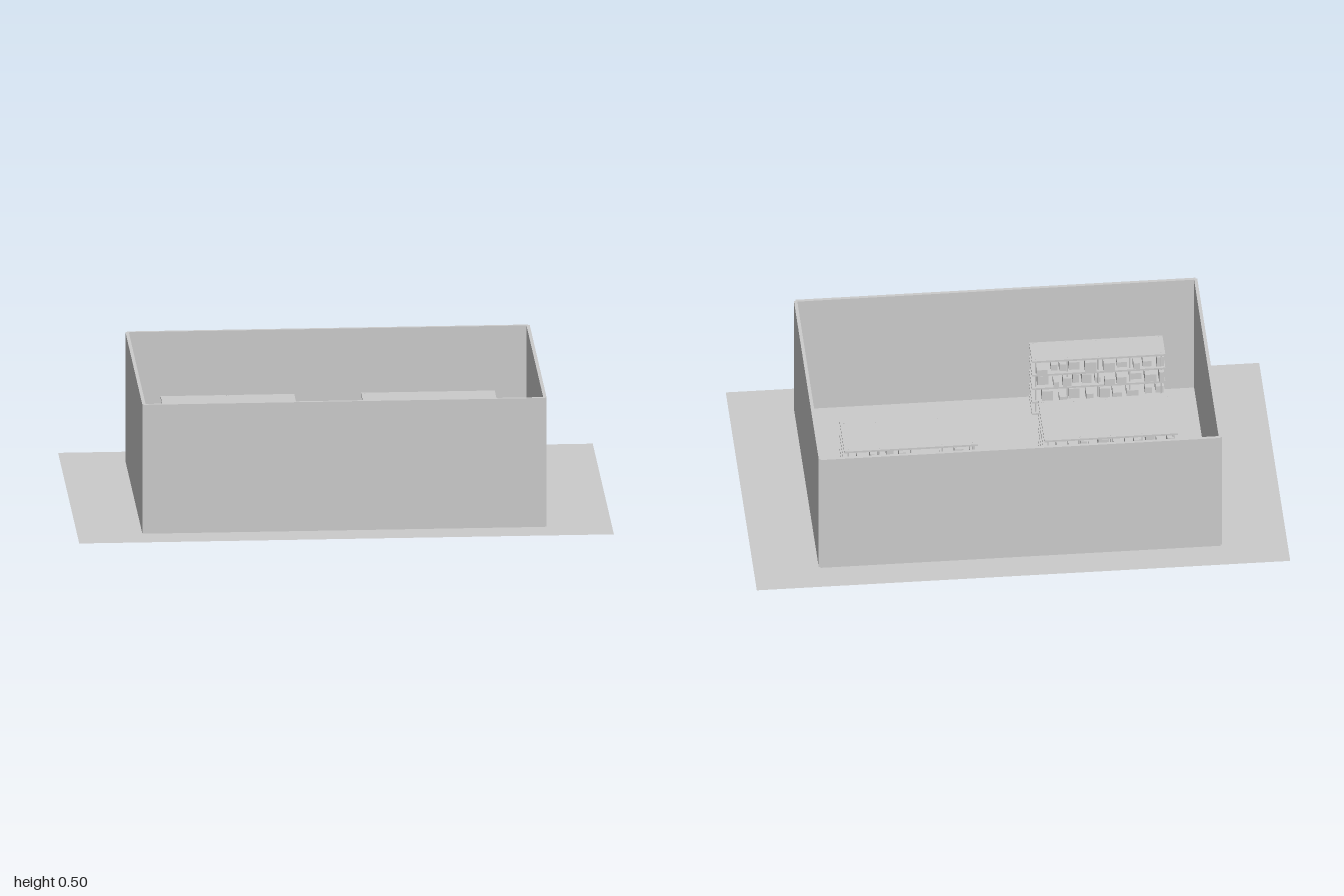
import * as THREE from 'three';

const grey = new THREE.MeshStandardMaterial({ color: 0xcccccc, flatShading: true });
const greyDouble = new THREE.MeshStandardMaterial({ color: 0xcccccc, flatShading: true, side: THREE.DoubleSide });

// Small seeded random source
let seed = 7;
function random(min, max) {
  seed = (seed * 16807) % 2147483647;
  return min + (max - min) * (seed / 2147483647);
}

function box(parent, name, [w, h, d], [x, y, z]) {
  const mesh = new THREE.Mesh(new THREE.BoxGeometry(w, h, d), grey);
  mesh.name = name;
  mesh.position.set(x, y, z);
  parent.add(mesh);
}

const LENGTH = 0.5, HEIGHT = 0.25, TIERS = 4, BOARD = 0.008;
const STEP = HEIGHT / TIERS;

// Open shelving: boards on thin posts, goods lined up along the open sides
function createShelf(depth, openSides) {
  const shelf = new THREE.Group();
  shelf.name = 'shelfUnit';

  for (let i = 0; i <= TIERS; i++) {
    const y = i === 0 ? BOARD / 2 + 0.001 : i * STEP - BOARD / 2;
    box(shelf, 'shelfBoard', [LENGTH, BOARD, depth], [0, y, 0]);
  }

  // Posts, their tips just showing above the top board
  const postGeometry = new THREE.CylinderGeometry(0.003, 0.003, HEIGHT + 0.001, 8);
  for (let i = 0; i < 5; i++) {
    for (const side of [-1, 1]) {
      const post = new THREE.Mesh(postGeometry, grey);
      post.name = 'shelfPost';
      post.position.set((i / 4 - 0.5) * (LENGTH - 0.03), (HEIGHT + 0.001) / 2, side * (depth / 2 - 0.012));
      shelf.add(post);
    }
  }

  // Goods of varied size, some sticking out past the edge
  for (const side of openSides) {
    for (let tier = 0; tier < TIERS; tier++) {
      const floor = tier === 0 ? BOARD + 0.001 : tier * STEP;
      let x = -LENGTH / 2 + random(0.002, 0.015);
      while (true) {
        const w = random(0.015, 0.045);
        if (x + w > LENGTH / 2) break;
        const h = random(0.022, 0.046);
        const d = random(0.035, 0.06);
        const front = depth / 2 + random(-0.025, 0.012);
        box(shelf, 'goods', [w, h, d], [x + w / 2, floor + h / 2, side * (front - d / 2)]);
        x += w + random(0.006, 0.026);
      }
    }
  }
  return shelf;
}

export function createModel() {
  seed = 7;
  const model = new THREE.Group();
  model.name = 'storeRoom';

  // Ground sheet
  const ground = new THREE.Mesh(new THREE.PlaneGeometry(2, 1.25).rotateX(-Math.PI / 2), greyDouble);
  ground.name = 'floor';
  model.add(ground);

  // Walls, meeting in a small notch at each corner
  const t = 0.0125;
  for (const s of [-1, 1]) {
    box(model, 'longWall', [1.5, 0.5, t], [0, 0.25, s * 0.5]);
    box(model, 'sideWall', [t, 0.5, 1], [s * 0.75, 0.25, 0]);
  }

  // Shelf units: x, z, depth, open sides
  const units = [
    [-0.375, -0.4375, 0.125, [1]],
    [0.375, -0.4375, 0.125, [1]],
    [-0.375, 0, 0.25, [-1, 1]],
    [0.375, -0.0312, 0.1875, [-1, 1]],
    [-0.375, 0.4375, 0.125, [-1]],
  ];
  for (const [x, z, depth, sides] of units) {
    const shelf = createShelf(depth, sides);
    shelf.position.set(x, 0, z);
    model.add(shelf);
  }
  return model;
}
